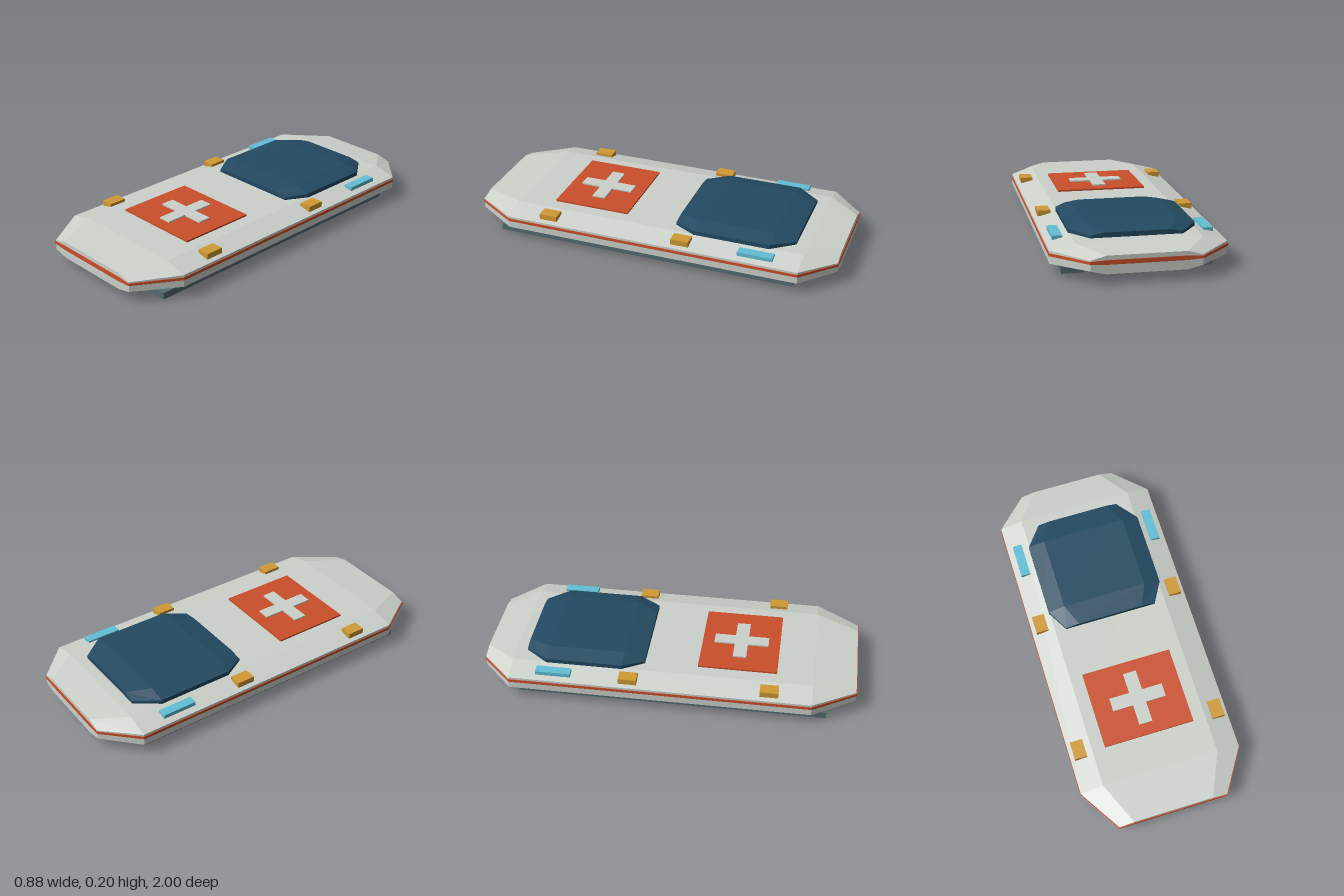
import * as THREE from 'three';

const paint = (name, color) => {
  const m = new THREE.MeshStandardMaterial({ color });
  m.name = name;
  return m;
};

// Skins chamfered cross-sections, listed back to front.
// Each is [z, half width, half width of flats, bottom, lower side, upper side, top].
function loft(sections) {
  const rings = sections.map(([z, w, f, b, lo, hi, t]) => [
    [f, b, z], [w, lo, z], [w, hi, z], [f, t, z],
    [-f, t, z], [-w, hi, z], [-w, lo, z], [-f, b, z],
  ]);
  const pos = [];
  const tri = (...pts) => pts.forEach((p) => pos.push(...p));
  for (let i = 0; i < rings.length - 1; i++) {
    for (let j = 0; j < 8; j++) {
      const k = (j + 1) % 8;
      const a = rings[i][j], b = rings[i][k], c = rings[i + 1][k], d = rings[i + 1][j];
      tri(a, b, c);
      tri(a, c, d);
    }
  }
  const back = rings[0], front = rings[rings.length - 1];
  for (let j = 1; j < 7; j++) {
    tri(front[0], front[j], front[j + 1]);
    tri(back[0], back[j + 1], back[j]);
  }
  const g = new THREE.BufferGeometry();
  g.setAttribute('position', new THREE.Float32BufferAttribute(pos, 3));
  g.computeVertexNormals();
  return g;
}

export function createModel() {
  const model = new THREE.Group();
  model.name = 'hoverVehicle';

  const white = paint('hullWhite', 0xcdd2cb);
  const orange = paint('signalOrange', 0xcb4f2b);
  const navy = paint('canopyNavy', 0x234a62);
  const slate = paint('skidSlate', 0x546a72);
  const amber = paint('lampAmber', 0xd09a34);
  const cyan = paint('lightCyan', 0x62bfd6);

  const add = (name, geometry, material) => {
    const mesh = new THREE.Mesh(geometry, material);
    mesh.name = name;
    model.add(mesh);
    return mesh;
  };
  // Box given by its extents on each axis
  const box = (name, material, [x0, x1], [y0, y1], [z0, z1]) => {
    const mesh = add(name, new THREE.BoxGeometry(x1 - x0, y1 - y0, z1 - z0), material);
    mesh.position.set((x0 + x1) / 2, (y0 + y1) / 2, (z0 + z1) / 2);
  };

  // Faceted hull with tapered ends
  add('hull', loft([
    [-0.997, 0.27, 0.195, 0.052, 0.07, 0.122, 0.143],
    [-0.83, 0.438, 0.315, 0.034, 0.065, 0.13, 0.161],
    [0.77, 0.438, 0.315, 0.034, 0.065, 0.13, 0.161],
    [0.996, 0.295, 0.215, 0.05, 0.068, 0.122, 0.143],
  ]), white);

  // Belt stripe, standing just proud of the hull
  add('beltStripe', loft([
    [-1, 0.273, 0.197, 0.099, 0.104, 0.116, 0.121],
    [-0.83, 0.441, 0.315, 0.097, 0.103, 0.118, 0.123],
    [0.77, 0.441, 0.315, 0.097, 0.103, 0.118, 0.123],
    [1, 0.298, 0.217, 0.098, 0.104, 0.116, 0.121],
  ]), orange);

  // Canopy
  add('canopy', loft([
    [-0.77, 0.23, 0.165, 0.15, 0.155, 0.174, 0.186],
    [-0.65, 0.32, 0.23, 0.15, 0.155, 0.183, 0.203],
    [-0.24, 0.32, 0.23, 0.15, 0.155, 0.183, 0.203],
    [-0.125, 0.255, 0.18, 0.15, 0.155, 0.174, 0.186],
  ]), navy);

  // Deck panel with a raised plus shape
  box('deckPanel', orange, [-0.246, 0.246], [0.155, 0.17], [0.157, 0.577]);
  const a = 0.036, l = 0.147;
  const plus = new THREE.Shape([
    [a, -l], [a, -a], [l, -a], [l, a], [a, a], [a, l],
    [-a, l], [-a, a], [-l, a], [-l, -a], [-a, -a], [-a, -l],
  ].map(([x, y]) => new THREE.Vector2(x, y)));
  const plusGeometry = new THREE.ExtrudeGeometry(plus, { depth: 0.009, bevelEnabled: false });
  plusGeometry.rotateX(-Math.PI / 2).translate(0, 0.169, 0.368);
  add('deckPlus', plusGeometry, white);

  // Paired skids, lamps and rear light strips
  for (const [side, s] of [['left', 1], ['right', -1]]) {
    const across = (x0, x1) => (s > 0 ? [x0, x1] : [-x1, -x0]);
    box(side + 'Skid', slate, across(0.266, 0.377), [0, 0.036], [-0.795, 0.85]);
    box(side + 'FrontLamp', amber, across(0.349, 0.416), [0.138, 0.168], [0.498, 0.595]);
    box(side + 'MiddleLamp', amber, across(0.349, 0.416), [0.138, 0.168], [-0.245, -0.148]);
    box(side + 'LightStrip', cyan, across(0.354, 0.405), [0.14, 0.161], [-0.69, -0.503]);
  }

  return model;
}
